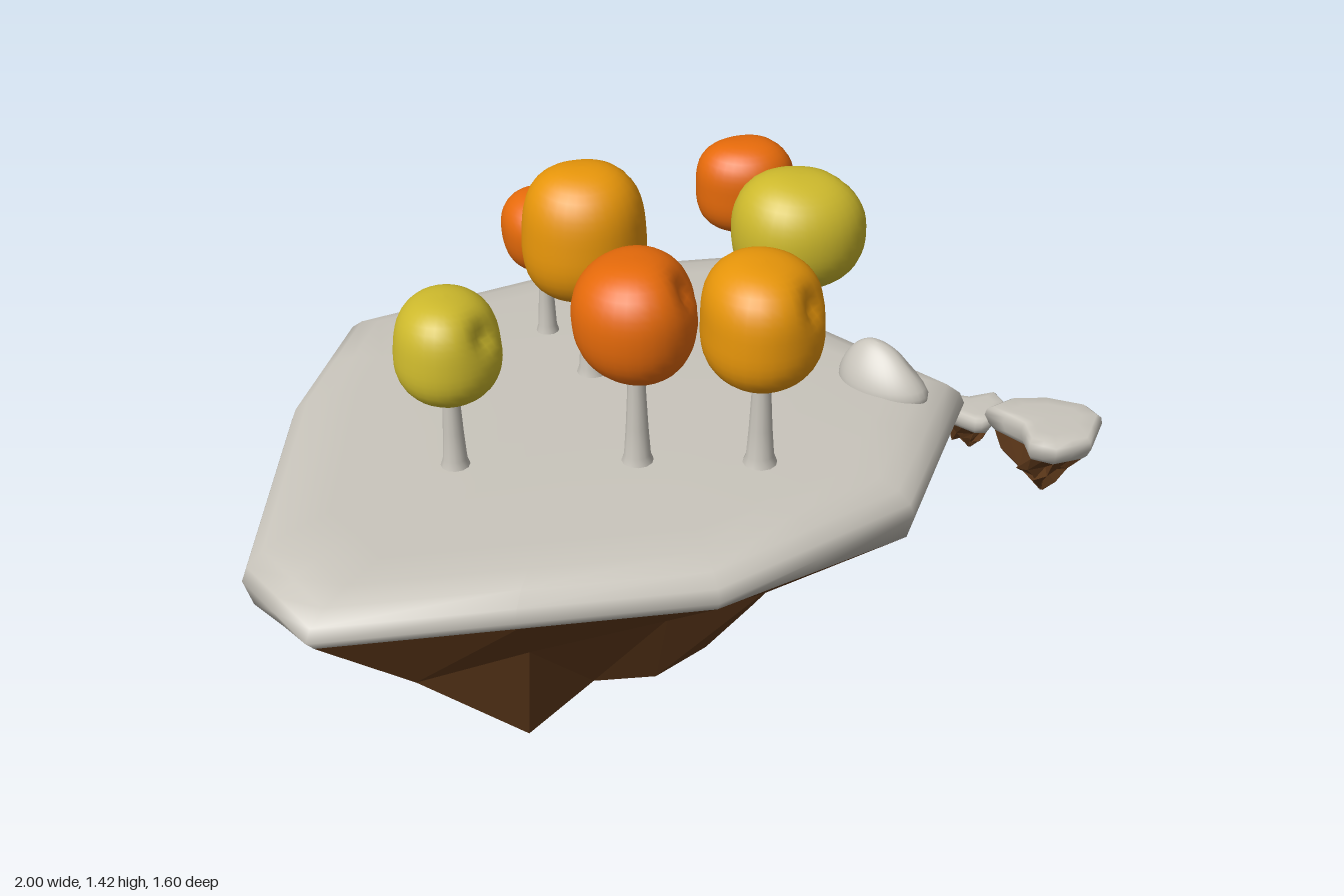
import * as THREE from 'three';

const mat = (name, color) => {
  const m = new THREE.MeshStandardMaterial({ color });
  m.name = name;
  return m;
};

// Small seeded random generator
function seeded(seed) {
  let s = seed;
  return () => ((s = (s * 16807) % 2147483647) / 2147483647);
}

// Closed loft through rings of [x, y, z], listed from top to bottom
function loft(rings, flat) {
  const n = rings[0].length, pos = rings.flat(2), idx = [];
  for (let i = 0; i < rings.length - 1; i++) {
    for (let j = 0; j < n; j++) {
      const a = i * n + j, b = i * n + (j + 1) % n;
      idx.push(a, b, b + n, a, b + n, a + n);
    }
  }
  [0, rings.length - 1].forEach((r) => {
    const c = pos.length / 3;
    for (let k = 0; k < 3; k++) pos.push(rings[r].reduce((t, p) => t + p[k], 0) / n);
    for (let j = 0; j < n; j++) {
      const a = r * n + j, b = r * n + (j + 1) % n;
      if (r === 0) idx.push(c, b, a); else idx.push(a, b, c);
    }
  });
  let g = new THREE.BufferGeometry();
  g.setAttribute('position', new THREE.Float32BufferAttribute(pos, 3));
  g.setIndex(idx);
  if (flat) g = g.toNonIndexed();
  g.computeVertexNormals();
  return g;
}

// Splits each edge of a closed outline into k pieces
function subdivide(pts, k) {
  return pts.flatMap((p, i) => {
    const q = pts[(i + 1) % pts.length];
    return Array.from({ length: k }, (_, j) => p.map((v, c) => v + (q[c] - v) * j / k));
  });
}

// Stone cap over a faceted rock underside
// outline: [x, z, rimY]; cap: [y, scale]; rock: [y, outline, roughness]
function island(name, outline, cap, rim, rock, seed, mats) {
  const g = new THREE.Group(), rand = seeded(seed), k = 2;
  g.name = name;
  const mid = [0, 1].map((c) => {
    const v = outline.map((p) => p[c]);
    return (Math.min(...v) + Math.max(...v)) / 2;
  });
  const ring = (s, y) => subdivide(outline, k).map((p) =>
    [mid[0] + (p[0] - mid[0]) * s, y ?? p[2], mid[1] + (p[1] - mid[1]) * s]);
  const top = new THREE.Mesh(loft([...cap.map(([y, s]) => ring(s, y)), ring(rim)], false), mats.stone);
  top.name = 'stoneCap';
  // Corners stay close to the section, points between them wander more
  const sections = rock.map(([y, pts, rough]) => subdivide(pts, k).map(([x, z], j) => {
    const r = rough * (j % k ? 2 : 0.7);
    return [x + (rand() - 0.5) * r, y + (rand() - 0.5) * r, z + (rand() - 0.5) * r];
  }));
  const under = new THREE.Mesh(loft([ring(rim), ...sections], true), mats.earth);
  under.name = 'rockUnderside';
  g.add(top, under);
  return g;
}

// Blob, round in plan and squarer in elevation, with soft lumps and a dimple on one side
function blob(power, lump, dent, seed) {
  const g = new THREE.SphereGeometry(1, 32, 24), p = g.attributes.position;
  const v = new THREE.Vector3(), ph = seed * 1.7;
  const d = new THREE.Vector3(0.8, 0.5, 0.6 * Math.sin(ph)).normalize();
  for (let i = 0; i < p.count; i++) {
    v.fromBufferAttribute(p, i);
    const sum = Math.hypot(v.x, v.z) ** power + Math.abs(v.y) ** power;
    const wave = Math.sin(3 * v.x + ph) + Math.sin(3.4 * v.y + 2 * ph) + Math.sin(3.2 * v.z - ph);
    const pit = dent * Math.exp(-v.distanceToSquared(d) * 10);
    v.multiplyScalar(sum ** (-1 / power) * (1 + lump * wave - pit));
    p.setXYZ(i, v.x, v.y, v.z);
  }
  return g;
}

// Smooth normals, matched along the sphere seam
function smooth(g) {
  g.computeVertexNormals();
  const nm = g.attributes.normal, v = new THREE.Vector3();
  for (let r = 0; r <= 24; r++) {
    const a = r * 33, b = a + 32;
    v.set(nm.getX(a) + nm.getX(b), nm.getY(a) + nm.getY(b), nm.getZ(a) + nm.getZ(b)).normalize();
    nm.setXYZ(a, v.x, v.y, v.z);
    nm.setXYZ(b, v.x, v.y, v.z);
  }
  return g;
}

export function createModel() {
  const model = new THREE.Group();
  model.name = 'floatingIslands';
  const mats = {
    stone: mat('paleStone', 0xc9c5bc),
    earth: mat('brownRock', 0x603a1b),
    amber: mat('amberLeaves', 0xe8960a),
    orange: mat('orangeLeaves', 0xe66a0a),
    yellow: mat('yellowLeaves', 0xcdb92c),
  };

  // Main island: plateau outline and the matching corners of the lower sections
  const outline = [[-0.94, -0.1, 0.74], [-0.82, -0.51, 0.76], [-0.22, -0.77, 0.76], [0.21, -0.8, 0.79],
    [0.35, -0.43, 0.74], [0.695, -0.03, 0.79], [0.48, 0.45, 0.74], [0.01, 0.735, 0.775],
    [-0.85, 0.795, 0.775], [-1, 0.56, 0.73]];
  const belly = [[-0.84, 0.02], [-0.78, -0.25], [-0.3, -0.42], [0, -0.5], [0.14, -0.38],
    [0.27, -0.05], [0.16, 0.2], [-0.1, 0.42], [-0.42, 0.59], [-0.72, 0.28]];
  const lower = [[-0.63, -0.1], [-0.6, -0.2], [-0.3, -0.3], [-0.05, -0.37], [0.05, -0.36],
    [0.1, -0.2], [0.05, -0.05], [-0.05, 0.05], [-0.25, 0.12], [-0.5, 0.05]];
  const foot = [[-0.4, -0.14], [-0.38, -0.2], [-0.25, -0.22], [-0.14, -0.23], [-0.05, -0.23],
    [0, -0.2], [-0.02, -0.12], [-0.08, -0.05], [-0.15, 0], [-0.3, -0.04]];
  // Overhang at each corner: higher values tuck the rock further under the rim
  const tuck = [0.5, 0.45, 0.5, 0.5, 0.65, 0.5, 0.7, 0.75, 0.5, 0.5];
  const shoulder = outline.map((p, i) => [0, 1].map((c) => p[c] + (belly[i][c] - p[c]) * tuck[i]));
  const tip = foot.map(([x, z]) => [-0.11 + (x + 0.11) * 0.12, -0.17 + (z + 0.17) * 0.12]);
  model.add(island('mainIsland', outline,
    [[0.888, 0.35], [0.883, 0.78], [0.873, 0.88], [0.856, 0.945], [0.83, 0.985], [0.8, 1]], 0.98,
    [[0.58, shoulder, 0.06], [0.37, belly, 0.05], [0.17, lower, 0.04], [0.07, foot, 0.03], [0.003, tip, 0.003]],
    71, mats));

  // Two small floating islets, each tapering toward [x, z]
  const islet = (name, pts, rimY, cap, [tx, tz], steps, seed) => {
    const rock = steps.map(([y, s, rough]) =>
      [y, pts.map(([x, z]) => [tx + (x - tx) * s, tz + (z - tz) * s]), rough]);
    model.add(island(name, pts.map((p) => [...p, rimY]), cap, 0.82, rock, seed, mats));
  };
  islet('lowIslet', [[0.81, -0.76], [0.84, -0.8], [0.9, -0.78], [0.985, -0.8], [1, -0.74],
    [0.93, -0.635], [0.89, -0.64], [0.82, -0.71]], 0.318,
  [[0.37, 0.6], [0.368, 0.88], [0.36, 0.97], [0.345, 1], [0.33, 0.92]], [0.9, -0.72],
  [[0.285, 0.58, 0.025], [0.26, 0.32, 0.015], [0.232, 0.05, 0.002]], 19);
  islet('highIslet', [[0.6, 0.52], [0.66, 0.485], [0.74, 0.49], [0.82, 0.53], [0.84, 0.58],
    [0.79, 0.68], [0.71, 0.7], [0.66, 0.67], [0.66, 0.6]], 1.073,
  [[1.13, 0.6], [1.128, 0.88], [1.12, 0.97], [1.105, 1], [1.085, 0.92]], [0.72, 0.59],
  [[1.03, 0.62, 0.03], [0.995, 0.32, 0.02], [0.952, 0.04, 0.002]], 43);

  // Trees: trunk x, z; crown x, y, z; crown half sizes; leaf colour
  const trees = [
    [-0.54, 0.27, -0.54, 1.19, 0.265, 0.125, 0.12, 0.125, 'yellow'],
    [-0.31, -0.34, -0.305, 1.16, -0.35, 0.105, 0.1, 0.108, 'orange'],
    [-0.21, -0.12, -0.22, 1.26, -0.13, 0.142, 0.16, 0.155, 'amber'],
    [-0.13, 0.29, -0.133, 1.26, 0.29, 0.138, 0.14, 0.15, 'orange'],
    [0.145, 0.32, 0.145, 1.25, 0.325, 0.145, 0.14, 0.148, 'amber'],
    [0.275, -0.08, 0.28, 1.265, -0.08, 0.15, 0.143, 0.14, 'yellow'],
    [0.205, -0.48, 0.2, 1.2, -0.485, 0.122, 0.115, 0.115, 'orange'],
  ];
  trees.forEach(([tx, tz, x, y, z, rx, ry, rz, leaf], i) => {
    const tree = new THREE.Group();
    tree.name = 'tree' + (i + 1);
    const s = rx / 0.14, h = y - 0.87;
    const profile = [[0.042, 0], [0.031, 0.03], [0.026, 0.1], [0.021, 0.2], [0.019, h]]
      .map(([r, t]) => new THREE.Vector2(r * s, t));
    const trunk = new THREE.Mesh(new THREE.LatheGeometry(profile, 12), mats.stone);
    trunk.name = 'trunk';
    trunk.position.set(tx, 0.875, tz);
    const crown = new THREE.Mesh(smooth(blob(2.6, 0.025, 0.22, i + 1)), mats[leaf]);
    crown.name = 'crown';
    crown.position.set(x, y, z);
    crown.scale.set(rx, ry, rz);
    tree.add(trunk, crown);
    model.add(tree);
  });

  // Boulders: x, z, half length, height, half width, turn
  [[-0.105, -0.52, 0.145, 0.14, 0.085, -0.8],
    [0.215, -0.18, 0.14, 0.105, 0.085, 0.1],
    [0.485, -0.01, 0.11, 0.11, 0.075, -0.75]].forEach(([x, z, l, h, w, turn], i) => {
    const g = blob(2, 0.04, 0.1, i + 4), p = g.attributes.position;
    // Narrow and lean toward the peak
    for (let j = 0; j < p.count; j++) {
      const t = Math.max(0, p.getY(j));
      p.setXYZ(j, p.getX(j) * (1 - 0.2 * t) - 0.2 * t, p.getY(j), p.getZ(j) * (1 - 0.2 * t));
    }
    const boulder = new THREE.Mesh(smooth(g), mats.stone);
    boulder.name = 'boulder' + (i + 1);
    boulder.position.set(x, 0.88, z);
    boulder.scale.set(l, h, w);
    boulder.rotation.y = turn;
    model.add(boulder);
  });

  return model;
}
